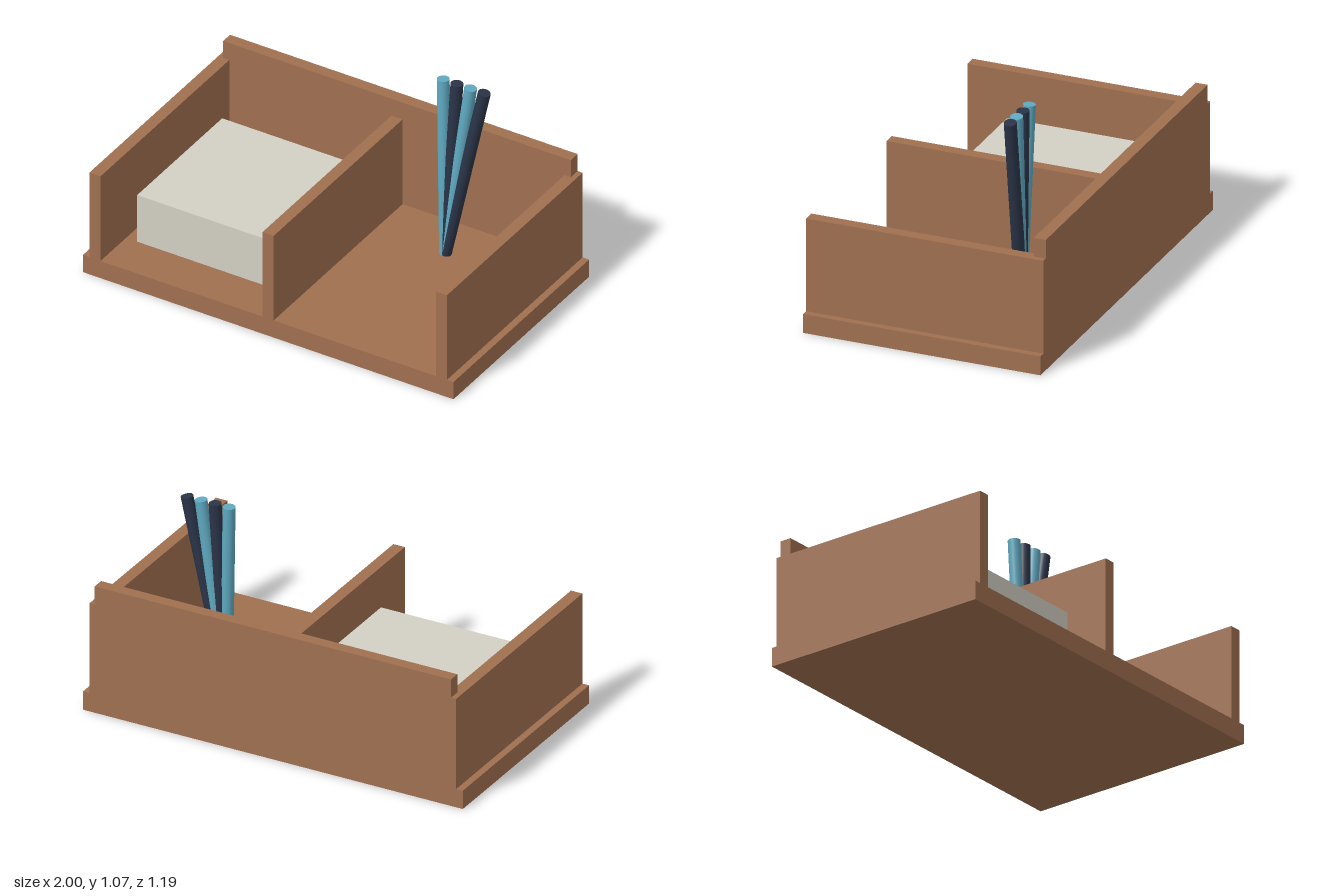
import * as THREE from 'three';

const material = (color) => new THREE.MeshStandardMaterial({ color });

export function createModel() {
  const group = new THREE.Group();
  const wood = material(0xa07050);
  const paper = material(0xd3cfc4);
  const lightBlue = material(0x5fa9c0);
  const navy = material(0x2a3448);

  // Box given by its minimum and maximum corners
  function box(name, mat, [x0, y0, z0], [x1, y1, z1]) {
    const mesh = new THREE.Mesh(new THREE.BoxGeometry(x1 - x0, y1 - y0, z1 - z0), mat);
    mesh.position.set((x0 + x1) / 2, (y0 + y1) / 2, (z0 + z1) / 2);
    mesh.name = name;
    group.add(mesh);
  }

  // Tray
  const floor = 0.095, depth = 0.594;
  box('base', wood, [-1, 0, -depth], [1, floor, depth]);
  box('leftSide', wood, [0.905, floor, -depth], [0.965, 0.563, depth]);
  box('rightSide', wood, [-0.965, floor, -depth], [-0.905, 0.563, depth]);
  box('divider', wood, [-0.03, floor, -depth], [0.03, 0.563, depth]);
  box('backPanel', wood, [-0.938, floor, -depth], [0.938, 0.657, -0.534]);

  // Stack of note paper against the divider
  box('paperStack', paper, [-0.845, floor, -0.374], [-0.03, 0.353, 0.37]);

  // Pencils fanning out from one point
  const foot = new THREE.Vector3(0.435, 0.13, -0.253);
  const up = new THREE.Vector3(0, 1, 0);
  for (let i = 0; i < 4; i++) {
    const tip = new THREE.Vector3(0.405 + i * 0.074, 1.064, -0.282);
    const axis = tip.clone().sub(foot);
    const pencil = new THREE.Mesh(
      new THREE.CylinderGeometry(0.03, 0.03, axis.length(), 16),
      i % 2 ? navy : lightBlue
    );
    pencil.position.copy(foot).add(tip).multiplyScalar(0.5);
    pencil.quaternion.setFromUnitVectors(up, axis.normalize());
    pencil.name = `pencil${i + 1}`;
    group.add(pencil);
  }

  return group;
}
